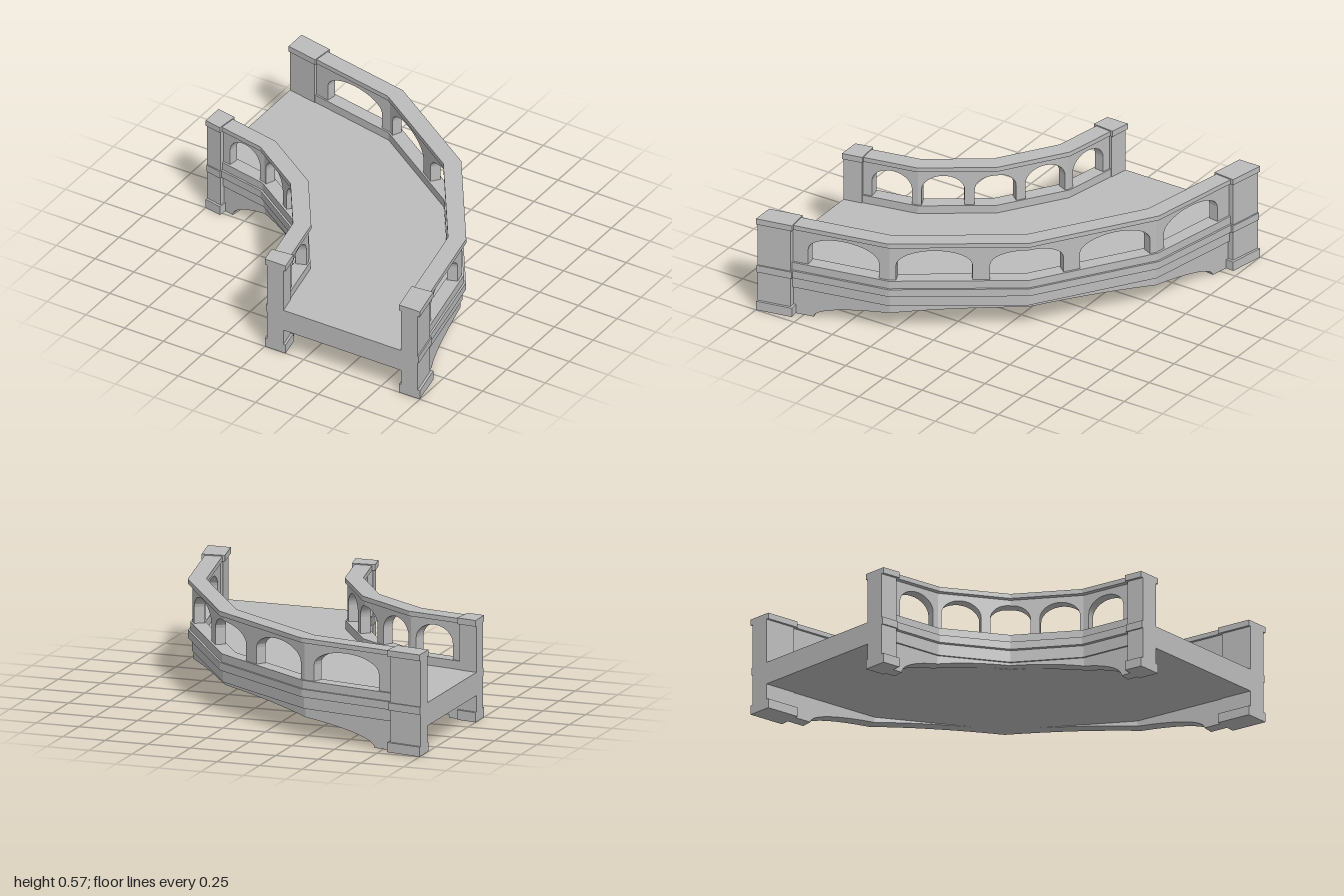
import * as THREE from 'three';
import { toCreasedNormals } from 'three/addons/utils/BufferGeometryUtils.js';

const stone = new THREE.MeshStandardMaterial({ color: 0xbcbcbc });
stone.name = 'stone';

// The bridge bends a quarter turn in four straight bays; u runs 0..4 along it.
const BAYS = 4;
function place(u, r, y) {
  const i = Math.min(BAYS - 1, Math.floor(u)), t = u - i;
  const a = (i * Math.PI) / 8, b = ((i + 1) * Math.PI) / 8;
  const s = Math.sin(a) * (1 - t) + Math.sin(b) * t;
  const c = Math.cos(a) * (1 - t) + Math.cos(b) * t;
  return [-1 + r * s, y, 1 - r * c];
}

// Stations between u0 and u1, denser at both ends, always including the bends
function stations(u0, u1, n = 1) {
  const list = [];
  for (let i = 0; i <= n; i++) list.push(u0 + (u1 - u0) * (0.5 - 0.5 * Math.cos((Math.PI * i) / n)));
  for (let k = 1; k < BAYS; k++) {
    if (k > u0 && k < u1 && !list.some((u) => Math.abs(u - k) < 1e-4)) list.push(k);
  }
  return list.sort((a, b) => a - b);
}

// A four-sided section carried along the bend; the underside may follow a curve
function sweep(name, us, r0, r1, lo, hi, capped = true) {
  const low = typeof lo === 'function' ? lo : () => lo;
  const rings = us.map((u) => {
    const y = low(u);
    return [place(u, r0, y), place(u, r1, y), place(u, r1, hi), place(u, r0, hi)];
  });
  const pos = [];
  const quad = (a, b, c, d) => pos.push(...a, ...b, ...c, ...a, ...c, ...d);
  for (let i = 0; i + 1 < rings.length; i++) {
    const A = rings[i], B = rings[i + 1];
    for (let k = 0; k < 4; k++) quad(A[k], A[(k + 1) % 4], B[(k + 1) % 4], B[k]);
  }
  if (capped) {
    const A = rings[0], B = rings[rings.length - 1];
    quad(A[0], A[3], A[2], A[1]);
    quad(B[0], B[1], B[2], B[3]);
  }
  const geo = new THREE.BufferGeometry();
  geo.setAttribute('position', new THREE.Float32BufferAttribute(pos, 3));
  geo.computeVertexNormals();
  const mesh = new THREE.Mesh(toCreasedNormals(geo, 0.3), stone);
  mesh.name = name;
  return mesh;
}

// One side of the bridge; the inner side mirrors the outer one across the deck
function side(inner) {
  const group = new THREE.Group();
  group.name = inner ? 'innerWall' : 'outerWall';
  const add = (name, us, r0, r1, lo, hi, capped) =>
    group.add(inner ? sweep(name, us, 3 - r1, 3 - r0, lo, hi, capped) : sweep(name, us, r0, r1, lo, hi, capped));

  // Lower wall with one long flat arch
  const reach = 1.59;
  const archY = (u) => 0.15 * Math.sqrt(Math.max(0, 1 - ((u - 2) / reach) ** 2));
  add('archWall', [0, ...stations(2 - reach, 2 + reach, 36), 4], 1.885, 1.95, archY, 0.166);

  // Mouldings and rail
  const full = stations(0, 4);
  add('lowerBand', full, 1.885, 1.96, 0.166, 0.235);
  add('ledge', full, 1.885, 1.98, 0.235, 0.28);
  add('parapetBase', full, 1.885, 1.968, 0.28, 0.327);
  add('handRail', full, 1.88, 1.982, 0.542, 0.569);

  // Parapet: piers between five arched openings
  const half = 0.275, pitch = 0.6775;
  let start = 0.1;
  for (let k = -2; k <= 2; k++) {
    const mid = 2 + k * pitch;
    add('parapetPier', stations(start, mid - half), 1.895, 1.955, 0.327, 0.542);
    const crown = (u) => 0.42 + 0.09 * Math.sqrt(Math.max(0, 1 - ((u - mid) / half) ** 2));
    add('parapetArch', stations(mid - half, mid + half, 16), 1.895, 1.955, crown, 0.542, false);
    start = mid + half;
  }
  add('parapetPier', stations(start, 3.9), 1.895, 1.955, 0.327, 0.542);

  // End posts with plinth, collar and cap
  for (const end of [0, 1]) {
    const span = (len) => (end ? [4 - len, 4] : [0, len]);
    add('postShaft', span(0.252), 1.88, 1.985, 0.055, 0.54);
    add('postPlinth', span(0.272), 1.866, 2, 0, 0.055);
    add('postCollar', span(0.264), 1.876, 1.993, 0.235, 0.278);
    add('postCap', span(0.272), 1.866, 2, 0.54, 0.575);
  }
  return group;
}

export function createModel() {
  const bridge = new THREE.Group();
  bridge.name = 'curvedBridge';
  bridge.add(sweep('deck', stations(0, 4), 1.1, 1.9, 0.148, 0.279));
  bridge.add(side(false), side(true));
  return bridge;
}
